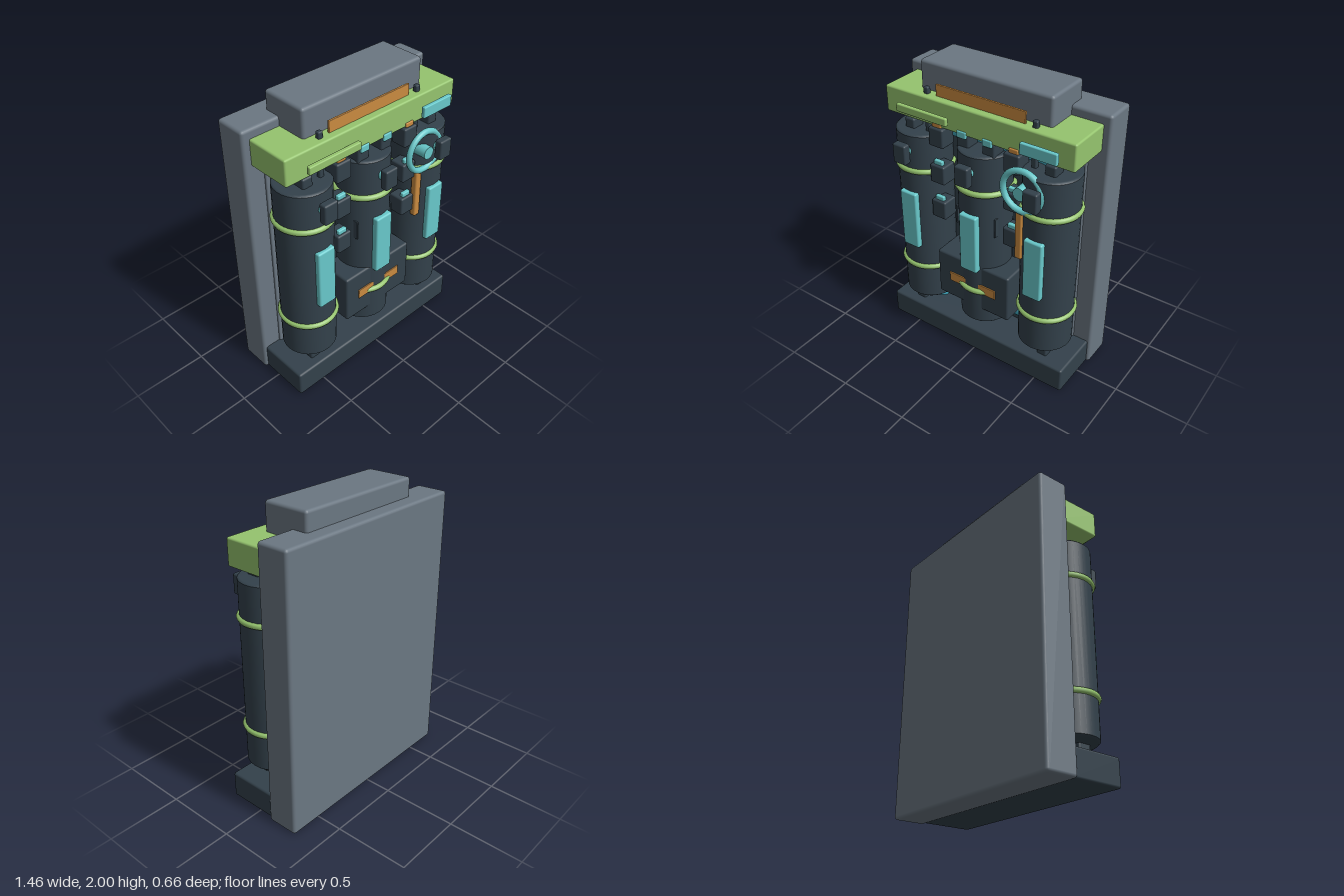
import * as THREE from 'three';
import { RoundedBoxGeometry } from 'three/addons/geometries/RoundedBoxGeometry.js';

const mat = (name, color) => {
  const m = new THREE.MeshStandardMaterial({ color });
  m.name = name;
  return m;
};

export function createModel() {
  const root = new THREE.Group();
  root.name = 'tankPack';
  const grey = mat('slate grey', 0x6b7782);
  const dark = mat('dark steel', 0x33414b);
  const green = mat('leaf green', 0x95c46e);
  const cyan = mat('pale cyan', 0x69c9cb);
  const blue = mat('pipe blue', 0x43abc2);
  const orange = mat('signal orange', 0xca8b40);

  const add = (name, geo, material, x = 0, y = 0, z = 0) => {
    const m = new THREE.Mesh(geo, material);
    m.name = name;
    m.position.set(x, y, z);
    root.add(m);
    return m;
  };
  // Box given by its limits on each axis, with softened edges
  const box = (name, material, [x0, x1], [y0, y1], [z0, z1], r = 0.012) => {
    const w = x1 - x0, h = y1 - y0, d = z1 - z0;
    const geo = new RoundedBoxGeometry(w, h, d, 2, Math.min(r, w / 4, h / 4, d / 4));
    return add(name, geo, material, (x0 + x1) / 2, (y0 + y1) / 2, (z0 + z1) / 2);
  };
  const around = (c, half) => [c - half, c + half];

  // Housing
  box('backPanel', grey, [-0.73, 0.73], [0, 1.875], [-0.33, -0.11], 0.02);
  box('innerPanel', grey, [-0.6, 0.6], [0.1, 1.7], [-0.13, -0.095]);
  box('corePlate', dark, [-0.47, 0.47], [0.15, 1.66], [-0.11, -0.03]);
  box('topCap', grey, [-0.47, 0.47], [1.72, 2], [-0.23, 0.095], 0.02);
  box('base', dark, [-0.71, 0.71], [0.005, 0.185], [-0.12, 0.24], 0.015);
  box('topBar', green, [-0.68, 0.68], [1.64, 1.815], [-0.12, 0.19]);
  box('capStrip', orange, [-0.32, 0.32], [1.8, 1.89], [0.125, 0.14]);
  box('greenLabel', green, [-0.555, -0.17], [1.69, 1.742], [0.215, 0.245]);
  box('cyanLabel', cyan, [0.35, 0.595], [1.68, 1.755], [0.22, 0.248]);

  // Tanks with straps, gauge strips and valve knobs
  const tankZ = 0.077;
  for (const x of [-0.48, 0, 0.48]) {
    const r = x ? 0.18 : 0.174;
    const profile = [[0, 0.28], [r - 0.012, 0.28], [r, 0.292], [r, 1.55], [r - 0.012, 1.562], [0, 1.562]]
      .map(([a, b]) => new THREE.Vector2(a, b));
    // Split the profile so the caps stay crisp
    add('tankSide', new THREE.LatheGeometry(profile.slice(2, 4), 32), dark, x, 0, tankZ);
    add('tankTop', new THREE.LatheGeometry(profile.slice(3), 32), dark, x, 0, tankZ);
    add('tankBottom', new THREE.LatheGeometry(profile.slice(0, 3), 32), dark, x, 0, tankZ);
    for (const y of [0.55, 1.305]) {
      add('strap', new THREE.TorusGeometry(0.178, 0.02, 8, 40), green, x, y, tankZ)
        .rotation.x = Math.PI / 2;
    }
    box('gaugeStrip', cyan, around(x, 0.065), [0.72, 1.145], [0.22, 0.28]);
    add('valveStem', new THREE.CylinderGeometry(0.035, 0.035, 0.08, 16), cyan, x, 1.447, 0.25)
      .rotation.x = Math.PI / 2;
    box('valveKnob', dark, around(x, 0.05), [1.38, 1.515], [0.277, 0.332]);
  }

  // Mirrored pipes, posts and clamps
  for (const s of [-1, 1]) {
    add('verticalPipe', new THREE.CylinderGeometry(0.057, 0.057, 1.5, 16), blue, s * 0.425, 0.9, 0.028);
    box('sidePost', dark, around(s * 0.515, 0.037), [0.17, 1.625], [0.082, 0.175]);
    box('thinPost', dark, around(s * 0.39, 0.017), [1.5, 1.857], [0.12, 0.152]);
    box('slot', dark, around(s * 0.148, 0.006), [0.99, 1.125], [0.12, 0.19]);
    [0.99, 1.25, 1.51].forEach((y, i) => {
      box('clampBlock', dark, around(s * 0.277, 0.055), [y, y + 0.13], [0.1, 0.215]);
      box('clampTab', i === 2 ? orange : cyan, around(s * 0.28, 0.033), [y + 0.06, y + 0.158], [0.17, 0.199]);
    });
    box('centreBlock', dark, around(s * 0.095, 0.045), [1.52, 1.645], [0.08, 0.185]);
    box('centreTab', cyan, around(s * 0.093, 0.034), [1.62, 1.667], [0.17, 0.199]);
  }
  for (const y of [0.352, 1.575]) {
    add('crossPipe', new THREE.CylinderGeometry(0.055, 0.055, 0.85, 16), blue, 0, y, 0.028)
      .rotation.z = Math.PI / 2;
  }

  // Lower control box with its strip
  box('controlBox', dark, [-0.283, 0.283], [0.395, 0.745], [0, 0.234], 0.015);
  box('controlStrip', orange, [-0.183, 0.183], [0.535, 0.605], [0.225, 0.242]);

  // Hand wheel and lever
  add('wheelRim', new THREE.TorusGeometry(0.135, 0.021, 10, 40), cyan, 0.377, 1.44, 0.24);
  add('wheelHub', new THREE.CylinderGeometry(0.043, 0.043, 0.12, 12), cyan, 0.377, 1.44, 0.22)
    .rotation.x = Math.PI / 2;
  box('lever', orange, [0.325, 0.375], [0.945, 1.29], [0.19, 0.237]);

  return root;
}
